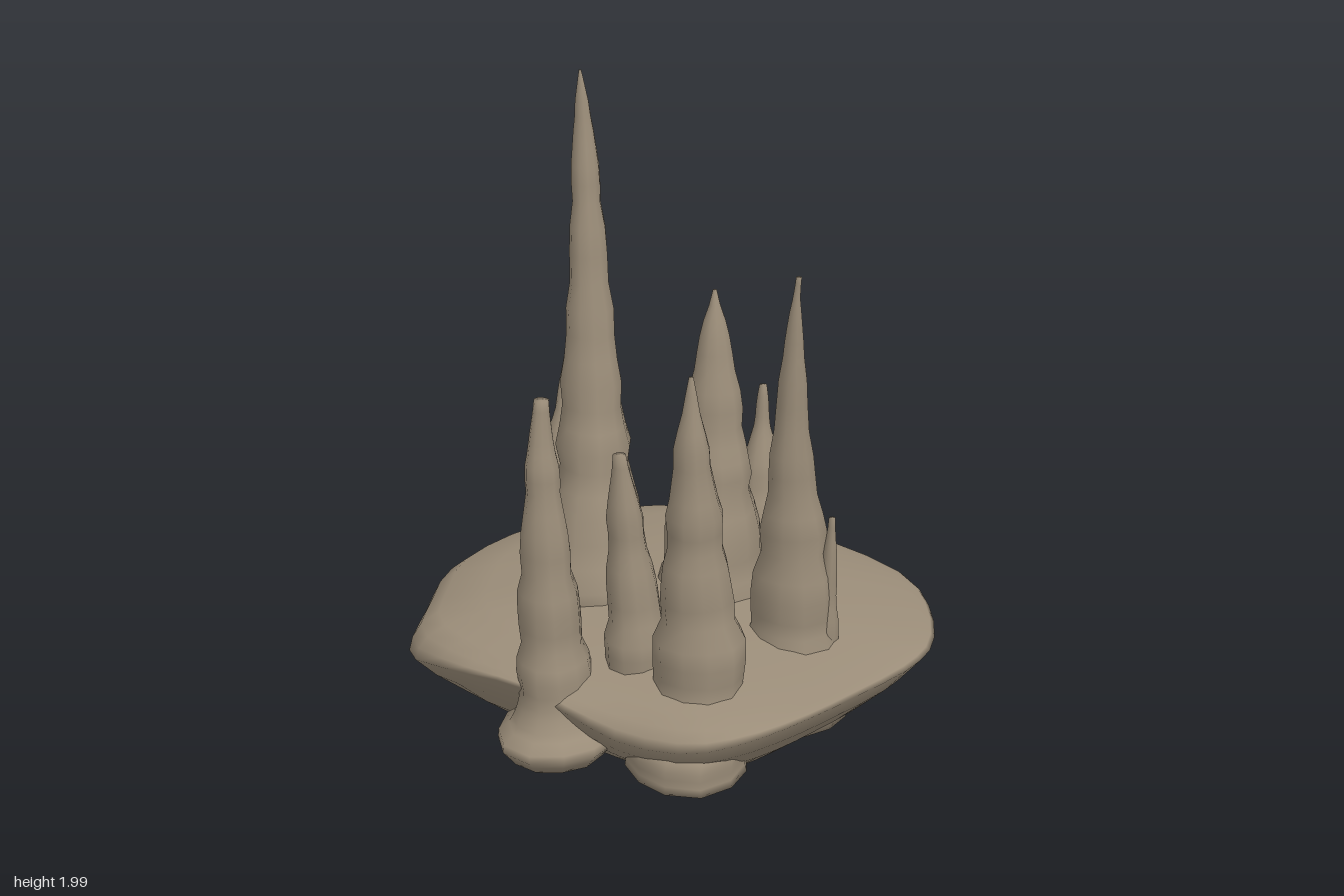
import * as THREE from 'three';
import { mergeVertices } from 'three/addons/utils/BufferGeometryUtils.js';

const stone = new THREE.MeshStandardMaterial({ color: 0x9b8d79, roughness: 0.95 });

// Skin a stack of rings (bottom to top, each running from +x towards +z)
function loft(name, rings) {
  const n = rings[0].length;
  const position = rings.flat().flatMap((p) => [p.x, p.y, p.z]);
  const index = [];
  for (let j = 0; j < rings.length - 1; j++) {
    for (let i = 0; i < n; i++) {
      const a = j * n + i, a2 = j * n + (i + 1) % n;
      index.push(a, a + n, a2, a2, a + n, a2 + n);
    }
  }
  let geometry = new THREE.BufferGeometry();
  geometry.setAttribute('position', new THREE.Float32BufferAttribute(position, 3));
  geometry.setIndex(index);
  geometry = mergeVertices(geometry, 1e-4);
  geometry.computeVertexNormals();
  const mesh = new THREE.Mesh(geometry, stone);
  mesh.name = name;
  return mesh;
}

// Rim of the rock slab: x, rim height, z
const RIM = [
  [0.79, 0.35, 0], [0.78, 0.35, 0.2], [0.73, 0.33, 0.37], [0.63, 0.3, 0.5], [0.43, 0.28, 0.58],
  [0.25, 0.32, 0.63], [0.1, 0.35, 0.66], [-0.15, 0.32, 0.7], [-0.43, 0.25, 0.67], [-0.6, 0.21, 0.5],
  [-0.74, 0.2, 0.32], [-0.79, 0.22, 0.05], [-0.76, 0.23, -0.2], [-0.67, 0.25, -0.42],
  [-0.57, 0.27, -0.55], [-0.43, 0.29, -0.63], [-0.2, 0.32, -0.68], [0.08, 0.34, -0.72],
  [0.4, 0.34, -0.7], [0.6, 0.34, -0.57], [0.74, 0.34, -0.4], [0.78, 0.34, -0.25],
];

function rockBase() {
  const rim = new THREE.CatmullRomCurve3(RIM.map((p) => new THREE.Vector3(...p)), true)
    .getPoints(48).slice(0, 48);
  // [scale, level the rim height is blended from, amount of rim height]
  const layers = [
    [0, 0.01, 0], [0.5, 0.02, 0], [0.66, 0.03, 0.12], [0.8, 0.03, 0.42], [0.92, 0.03, 0.73], [1, 0, 1],
    [0.985, 0.37, 0.65], [0.95, 0.37, 0.32], [0.88, 0.38, 0.1], [0.7, 0.405, 0], [0.35, 0.435, 0], [0, 0.445, 0],
  ];
  return loft('rockBase', layers.map(([s, level, k]) =>
    rim.map((p) => new THREE.Vector3(p.x * s, level + (p.y - level) * k, p.z * s))));
}

// Stalagmite lofted along [x, y, z, radius] stations, with a lumpy surface
function stalagmite(name, stations, seed) {
  const spine = new THREE.CatmullRomCurve3(stations.map((s) => new THREE.Vector3(s[0], s[1], s[2])));
  const width = new THREE.CatmullRomCurve3(stations.map((s) => new THREE.Vector3(s[3], 0, 0)));
  const sides = 11, steps = (stations.length - 1) * 4;
  const rings = [];
  for (let j = 0; j <= steps; j++) {
    const c = spine.getPoint(j / steps);
    const lump = 1 + 0.07 * Math.sin(c.y * 30 + seed) + 0.03 * Math.sin(c.y * 53 + seed * 2);
    const r = Math.max(0.004, width.getPoint(j / steps).x) * lump;
    rings.push(Array.from({ length: sides }, (_, i) => {
      const a = (i / sides) * Math.PI * 2;
      const q = r * (1 + 0.04 * Math.sin(a * 3 + seed + c.y * 7));
      return new THREE.Vector3(c.x + q * Math.cos(a), c.y, c.z + q * Math.sin(a));
    }));
  }
  // close both ends
  const cap = (p) => Array.from({ length: sides }, () => p.clone());
  rings.unshift(cap(spine.getPoint(0)));
  rings.push(cap(spine.getPoint(1)));
  return loft(name, rings);
}

const STALAGMITES = {
  tallStalagmite: [
    [-0.14, 0.13, 0.16, 0.18], [-0.14, 0.3, 0.16, 0.185], [-0.145, 0.47, 0.16, 0.172], [-0.17, 0.75, 0.135, 0.12],
    [-0.19, 1, 0.12, 0.095], [-0.21, 1.3, 0.11, 0.068], [-0.23, 1.62, 0.1, 0.046],
    [-0.25, 1.82, 0.088, 0.032], [-0.26, 2, 0.09, 0.004]],
  centreStalagmite: [
    [0.1, 0.13, -0.11, 0.17], [0.1, 0.3, -0.11, 0.175], [0.1, 0.48, -0.11, 0.165], [0.095, 0.75, -0.115, 0.12],
    [0.09, 0.95, -0.12, 0.09], [0.085, 1.18, -0.12, 0.056], [0.08, 1.37, -0.125, 0.006]],
  leftStalagmite: [
    [0.46, 0.13, -0.09, 0.15], [0.46, 0.3, -0.09, 0.145], [0.465, 0.48, -0.08, 0.127], [0.475, 0.75, -0.06, 0.092],
    [0.485, 1, -0.03, 0.06], [0.505, 1.3, -0.01, 0.033], [0.518, 1.47, 0, 0.012], [0.525, 1.54, 0, 0.008]],
  leftFrontStalagmite: [
    [0.46, 0.13, 0.35, 0.18], [0.46, 0.22, 0.35, 0.185], [0.46, 0.28, 0.32, 0.14], [0.465, 0.48, 0.31, 0.13],
    [0.465, 0.72, 0.33, 0.095], [0.47, 0.92, 0.34, 0.075], [0.475, 1.12, 0.355, 0.047], [0.475, 1.33, 0.36, 0.006]],
  innerFrontStalagmite: [
    [0.26, 0.15, 0.36, 0.11], [0.26, 0.3, 0.36, 0.1], [0.26, 0.48, 0.365, 0.09], [0.25, 0.7, 0.38, 0.064],
    [0.245, 0.9, 0.395, 0.044], [0.245, 1.05, 0.41, 0.018]],
  frontStalagmite: [
    [0.14, 0.13, 0.575, 0.14], [0.14, 0.23, 0.575, 0.14], [0.135, 0.31, 0.57, 0.112], [0.125, 0.48, 0.57, 0.096],
    [0.12, 0.7, 0.575, 0.077], [0.115, 0.95, 0.58, 0.052], [0.11, 1.1, 0.58, 0.037], [0.11, 1.22, 0.575, 0.02]],
  rightStalagmite: [
    [-0.48, 0.15, 0.05, 0.11], [-0.48, 0.32, 0.05, 0.105], [-0.48, 0.48, 0.045, 0.09], [-0.47, 0.7, 0.025, 0.06],
    [-0.455, 0.88, 0.01, 0.03], [-0.45, 1.06, 0, 0.006]],
  backStalagmite: [
    [-0.04, 0.13, -0.47, 0.13], [-0.04, 0.3, -0.46, 0.11], [-0.04, 0.48, -0.46, 0.092], [-0.045, 0.65, -0.47, 0.064],
    [-0.05, 0.8, -0.478, 0.03], [-0.05, 0.94, -0.48, 0.012]],
  sideSpur: [
    [0.545, 0.35, -0.13, 0.045], [0.555, 0.5, -0.125, 0.032], [0.567, 0.68, -0.12, 0.02], [0.575, 0.8, -0.115, 0.01]],
};

export function createModel() {
  const model = new THREE.Group();
  model.name = 'stalagmiteCluster';
  model.add(rockBase());
  Object.entries(STALAGMITES).forEach(([name, stations], i) => model.add(stalagmite(name, stations, i * 1.7)));
  return model;
}
